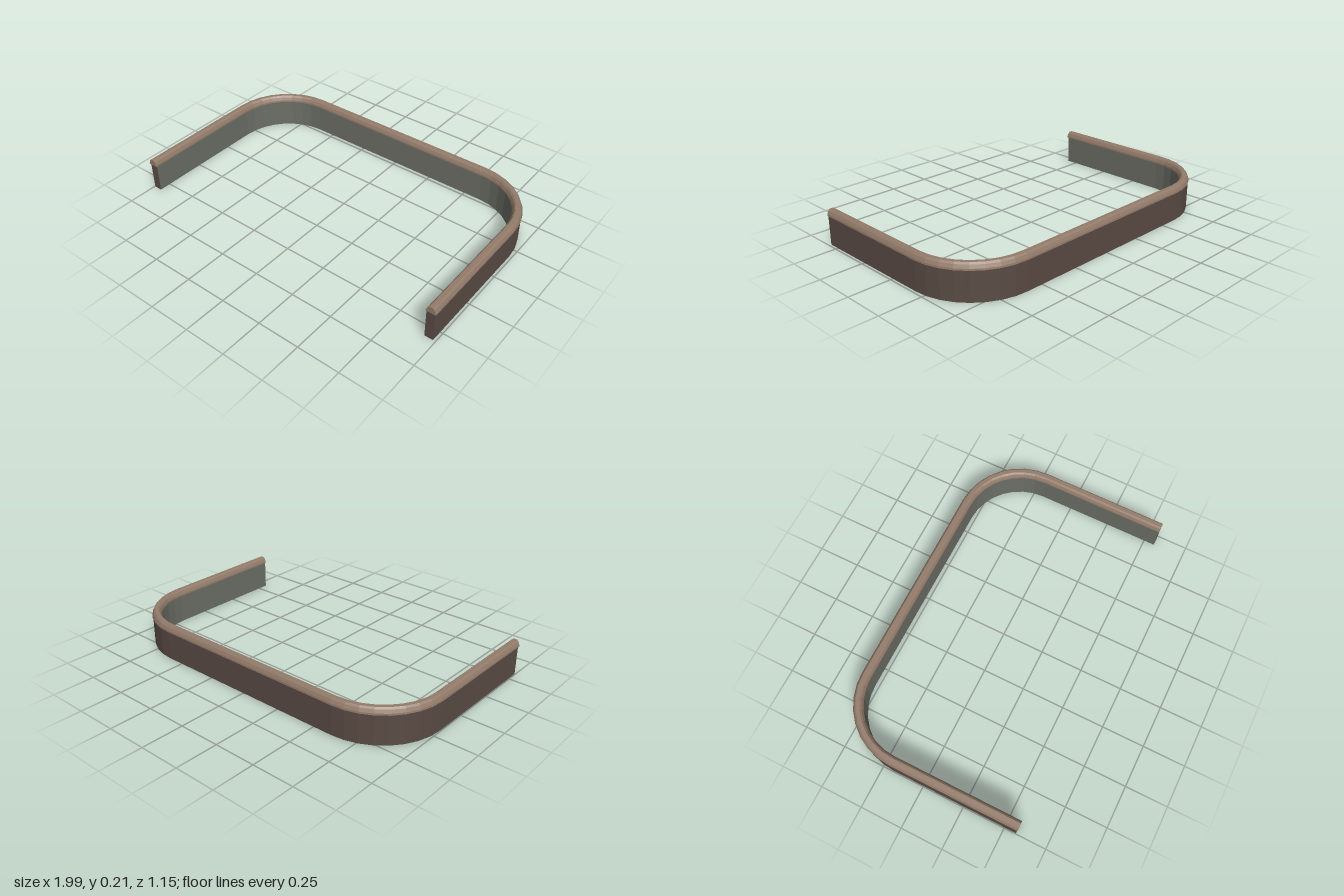
import * as THREE from 'three';

// Plan of the centre line, running from the right-hand end round the back to the left-hand end
const X0 = -0.971, X1 = 0.96, BACK = -0.548, RADIUS = 0.36, STEPS = 8;

function makePath(endA, endB) {
  // each station: x, z and the outward normal nx, nz
  const path = [{ x: X0, z: endA, nx: -1, nz: 0 }];
  [[X0 + RADIUS, Math.PI], [X1 - RADIUS, Math.PI * 1.5]].forEach(([cx, start]) => {
    for (let i = 0; i <= STEPS; i++) {
      const a = start + (i / STEPS) * Math.PI / 2;
      const nx = Math.cos(a), nz = Math.sin(a);
      path.push({ x: cx + RADIUS * nx, z: BACK + RADIUS + RADIUS * nz, nx, nz });
    }
  });
  path.push({ x: X1, z: endB, nx: 1, nz: 0 });
  return path;
}

const place = (s, [offset, y]) => [s.x + s.nx * offset, y, s.z + s.nz * offset];

function geometryFrom(positions) {
  const g = new THREE.BufferGeometry();
  g.setAttribute('position', new THREE.Float32BufferAttribute(positions, 3));
  g.computeVertexNormals();
  return g;
}

// Sweep an open profile (inside up and over to outside) along the path
function sweep(path, profile) {
  const out = [];
  for (let i = 0; i + 1 < path.length; i++) {
    for (let j = 0; j + 1 < profile.length; j++) {
      const a = place(path[i], profile[j]), b = place(path[i + 1], profile[j]);
      const c = place(path[i + 1], profile[j + 1]), d = place(path[i], profile[j + 1]);
      out.push(...a, ...b, ...c, ...a, ...c, ...d);
    }
  }
  return geometryFrom(out);
}

// Close both ends of a sweep with a fan over a convex profile
function ends(path, profile) {
  const out = [], first = path[0], last = path[path.length - 1];
  for (let j = 1; j + 1 < profile.length; j++) {
    const [p, q, r] = [profile[0], profile[j], profile[j + 1]];
    out.push(...place(first, p), ...place(first, q), ...place(first, r));
    out.push(...place(last, p), ...place(last, r), ...place(last, q));
  }
  return geometryFrom(out);
}

export function createModel() {
  const mat = (name, color) => {
    const m = new THREE.MeshStandardMaterial({ color, flatShading: true, side: THREE.DoubleSide });
    m.name = name;
    return m;
  };
  const brown = mat('dark brown', 0x5a4b44);
  const green = mat('grey green', 0x6c6f66);
  const tan = mat('tan trim', 0x937b6a);

  const group = new THREE.Group();
  group.name = 'curvedParapet';
  const add = (name, geometry, material) => {
    const mesh = new THREE.Mesh(geometry, material);
    mesh.name = name;
    group.add(mesh);
  };

  // Wall: inner face, outer face, underside and ends
  const H = 0.175, W = 0.025;
  const wallPath = makePath(0.57, 0.565);
  add('innerWall', sweep(wallPath, [[-W, 0], [-W, H]]), green);
  add('outerWall', sweep(wallPath, [[W, H], [W, 0]]), brown);
  add('wallUnderside', sweep(wallPath, [[W, 0], [-W, 0]]), brown);
  add('wallEnds', ends(wallPath, [[-W, 0], [-W, H], [W, H], [W, 0]]), brown);

  // Rounded coping along the top, slightly wider than the wall
  const coping = [[-0.029, 0.172], [-0.028, 0.182], [-0.02, 0.2], [-0.011, 0.209],
    [0.011, 0.209], [0.02, 0.2], [0.028, 0.182], [0.029, 0.172]];
  const copingPath = makePath(0.577, 0.567);
  add('coping', sweep(copingPath, [...coping, coping[0]]), tan);
  add('copingEnds', ends(copingPath, coping), tan);
  return group;
}
